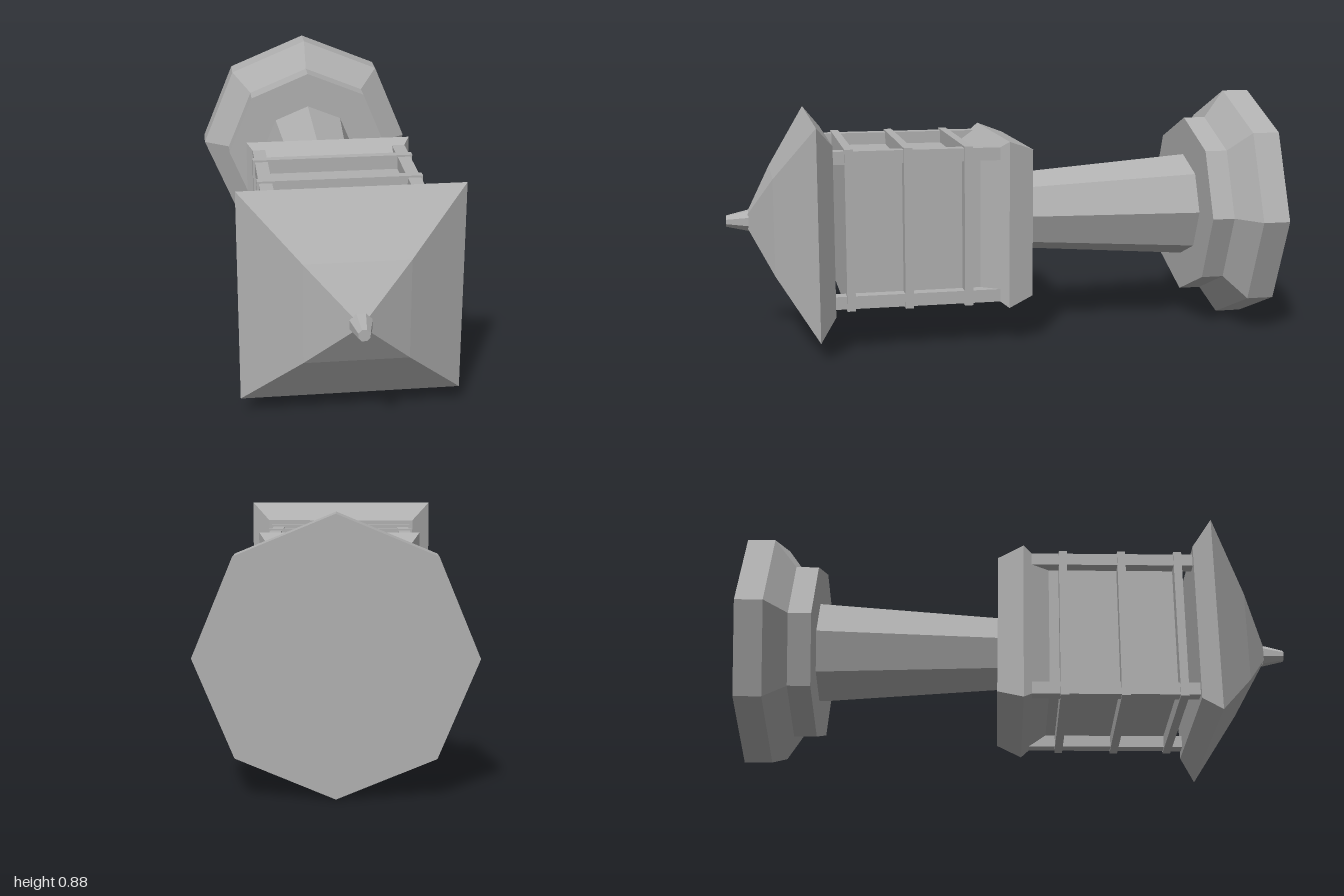
import * as THREE from 'three';

// Stone lantern lying on its side, built along z around the axis y = 0.44
export function createModel() {
  const model = new THREE.Group();
  model.name = 'stoneLantern';
  const axis = new THREE.Group();
  axis.name = 'lanternAxis';
  axis.position.y = 0.44;
  model.add(axis);

  const stone = new THREE.MeshStandardMaterial({ color: 0xb0b0b0, flatShading: true });
  stone.name = 'stone';

  function add(name, geometry, parent = axis) {
    const mesh = new THREE.Mesh(geometry, stone);
    mesh.name = name;
    parent.add(mesh);
    return mesh;
  }

  // Stack of prism sections; profile is a list of [z, radius]
  function stack(name, profile, sides, turn = 0) {
    const group = new THREE.Group();
    group.name = name;
    axis.add(group);
    const last = profile.length - 1;
    for (let i = 0; i < last; i++) {
      const [z0, r0] = profile[i];
      const [z1, r1] = profile[i + 1];
      const g = new THREE.CylinderGeometry(r1, r0, z1 - z0, sides, 1, true, turn);
      g.rotateX(Math.PI / 2).translate(0, 0, (z0 + z1) / 2);
      add(name + 'Section', g, group);
    }
    // End caps
    for (const [z, r, back] of [[...profile[0], true], [...profile[last], false]]) {
      const cap = new THREE.CircleGeometry(r, sides, turn - Math.PI / 2);
      if (back) cap.rotateY(Math.PI);
      add(name + 'Cap', cap.translate(0, 0, z), group);
    }
  }
  const square = (name, profile) =>
    stack(name, profile.map(([z, h]) => [z, h * Math.SQRT2]), 4, Math.PI / 4);

  // Octagonal foot and column
  stack('base', [[-1, 0.44], [-0.9, 0.44], [-0.828, 0.338], [-0.745, 0.338]], 8);
  stack('column', [[-0.75, 0.196], [-0.083, 0.145]], 8);

  // Square platform under the lamp chamber
  square('platform', [[-0.083, 0.268], [0.01, 0.302], [0.105, 0.235]]);

  // Lamp chamber with corner posts and cross bands
  square('chamber', [[0.1, 0.236], [0.59, 0.236]]);
  for (const x of [-1, 1]) for (const y of [-1, 1]) {
    const post = add('cornerPost', new THREE.BoxGeometry(0.046, 0.046, 0.605));
    post.position.set(x * 0.258, y * 0.258, 0.3325);
  }
  for (const z of [0.155, 0.37, 0.577]) square('band', [[z - 0.015, 0.288], [z + 0.015, 0.288]]);

  // Pyramid roof and finial
  square('roof', [[0.633, 0.303], [0.693, 0.375], [0.835, 0.175], [0.924, 0.025]]);
  stack('finial', [[0.92, 0.04], [1, 0.021]], 8, Math.PI / 8);

  return model;
}
